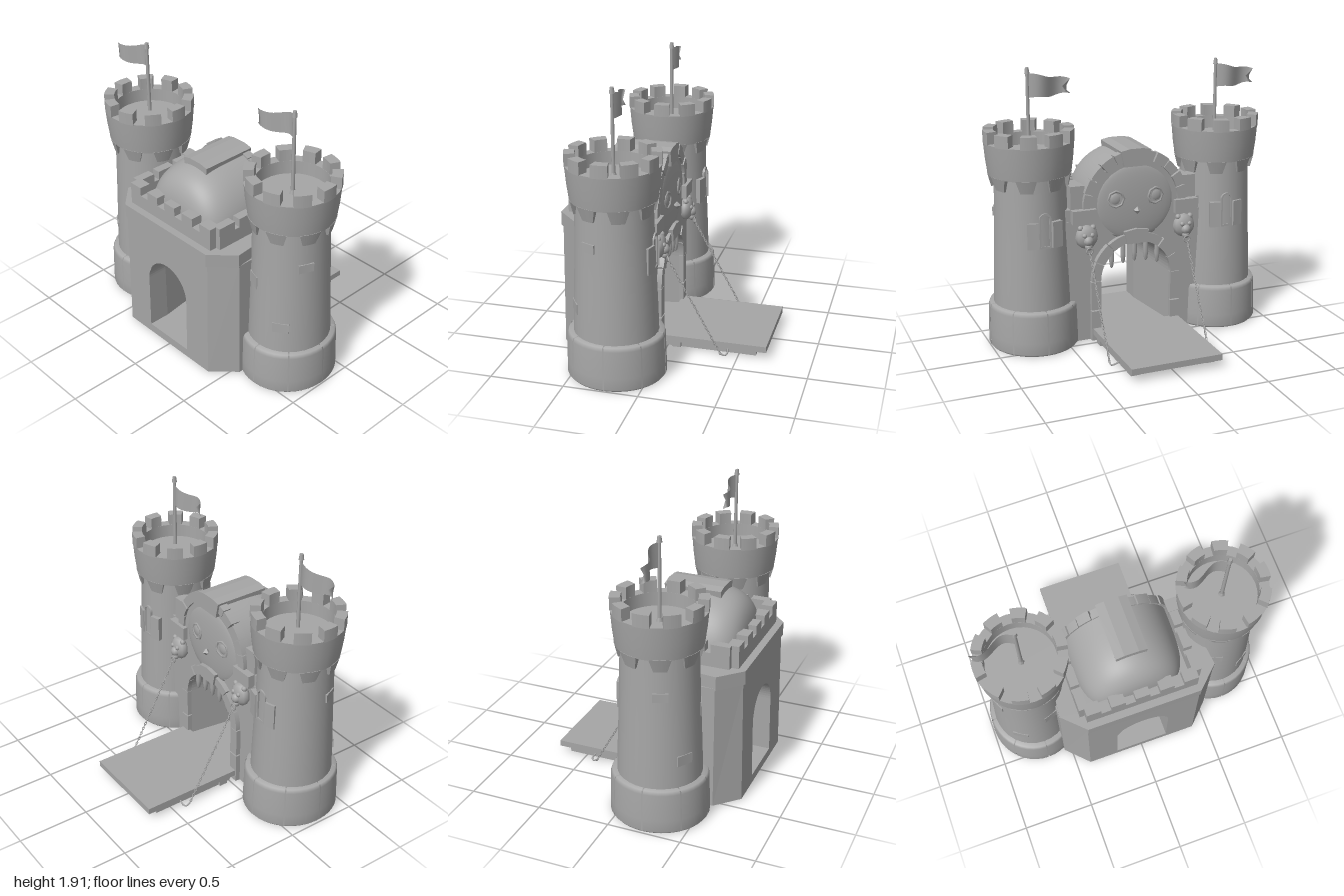
import * as THREE from 'three';

const stone = new THREE.MeshStandardMaterial({ color: 0xa6a6a6, side: THREE.DoubleSide });
stone.name = 'grey stone';

function add(parent, name, geo, x = 0, y = 0, z = 0) {
  const m = new THREE.Mesh(geo, stone);
  m.name = name;
  m.position.set(x, y, z);
  parent.add(m);
  return m;
}
const box = (p, name, x0, x1, y0, y1, z0, z1) =>
  add(p, name, new THREE.BoxGeometry(x1 - x0, y1 - y0, z1 - z0), (x0 + x1) / 2, (y0 + y1) / 2, (z0 + z1) / 2);

// Move every vertex by a rule
function reshape(geo, rule) {
  const p = geo.attributes.position, v = new THREE.Vector3();
  for (let k = 0; k < p.count; k++) {
    rule(v.fromBufferAttribute(p, k));
    p.setXYZ(k, v.x, v.y, v.z);
  }
  geo.computeVertexNormals();
  return geo;
}
// Shape drawn in (-z, y), pushed along x from x0 to x1
function extrudeX(shape, x0, x1) {
  return new THREE.ExtrudeGeometry(shape, { depth: x1 - x0, bevelEnabled: false, curveSegments: 16 })
    .translate(0, 0, x0).rotateY(Math.PI / 2);
}
// Shape drawn in (x, -z), raised from y0 to y1
function extrudeY(shape, y0, y1) {
  return new THREE.ExtrudeGeometry(shape, { depth: y1 - y0, bevelEnabled: false, curveSegments: 5 })
    .translate(0, 0, y0).rotateX(-Math.PI / 2);
}
function sector(r0, r1, a0, a1) {
  const s = new THREE.Shape();
  s.absarc(0, 0, r1, a0, a1, false);
  s.absarc(0, 0, r0, a1, a0, true);
  return s;
}
const poly = points => new THREE.Shape(points.map(p => new THREE.Vector2(p[0], p[1])));
function archPath(w, yBase, ySpring, Type = THREE.Path) {
  const p = new Type();
  p.moveTo(-w, yBase);
  p.lineTo(w, yBase);
  p.lineTo(w, ySpring);
  p.absarc(0, ySpring, w, 0, Math.PI, false);
  p.lineTo(-w, yBase);
  return p;
}
const lathe = (pts, seg = 32, a = 0, len = Math.PI * 2) =>
  new THREE.LatheGeometry(pts.map(p => new THREE.Vector2(p[0], p[1])), seg, a, len);

// Round tower with corbelled battlements; side is +1 (left) or -1 (right)
function tower(side) {
  const g = new THREE.Group();
  g.name = side > 0 ? 'leftTower' : 'rightTower';
  g.position.set(-0.232, 0, side > 0 ? 0.69 : -0.68);
  // Base of large blocks, slightly deeper than wide
  const base = new THREE.Group();
  base.name = 'base';
  base.scale.x = 1.055;
  g.add(base);
  add(base, 'foundation', new THREE.CylinderGeometry(0.295, 0.3, 0.3, 32), 0, 0.155, 0);
  const blocks = 8, step = Math.PI * 2 / blocks;
  for (let i = 0; i < blocks; i++) {
    add(base, 'baseStone', lathe([[0.3, 0.005], [0.312, 0.02], [0.31, 0.1], [0.305, 0.285], [0.295, 0.31], [0.25, 0.316]],
      5, i * step + 0.03, step - 0.03));
  }
  add(g, 'shaft', lathe([[0.27, 0.3], [0.264, 0.5], [0.254, 0.75], [0.246, 1.0], [0.24, 1.24]])).scale.x = 1.035;
  // Battlements
  add(g, 'corbelUnderside', lathe([[0.235, 1.215], [0.28, 1.215]]));
  add(g, 'battlementWall', lathe([[0.28, 1.215], [0.294, 1.32], [0.304, 1.44]]));
  add(g, 'battlementWalk', lathe([[0.304, 1.44], [0.237, 1.44]]));
  add(g, 'battlementInside', lathe([[0.237, 1.44], [0.235, 1.345]]));
  add(g, 'roofFloor', new THREE.CylinderGeometry(0.24, 0.24, 0.01, 32), 0, 1.345, 0);
  for (let i = 0; i < 10; i++) {
    const a = (i + 0.25) * Math.PI / 5;
    add(g, 'merlon', extrudeY(sector(0.237, 0.306, a, a + 0.36), 1.435, 1.52));
  }
  for (let i = 0; i < 8; i++) {
    const a = i * Math.PI / 4 + 0.16, mid = a + 0.25;
    // Corbel drawn in and narrowed towards its foot
    const geo = reshape(extrudeY(sector(0.235, 0.283, a, a + 0.5), 1.13, 1.22), v => {
      if (v.y > 1.18) return;
      const r = Math.min(Math.hypot(v.x, v.z), 0.26);
      let d = Math.atan2(-v.z, v.x) - mid;
      d = Math.atan2(Math.sin(d), Math.cos(d)) * 0.65 + mid;
      v.x = r * Math.cos(d);
      v.z = -r * Math.sin(d);
    });
    add(g, 'corbel', geo);
  }
  // Raised bricks scattered on the shaft
  for (const [a, y, h, w] of [[2.8, 0.77, 0.09, 0.1], [1.9, 0.9, 0.05, 0.1], [2.2, 0.6, 0.06, 0.1],
    [3.7, 0.5, 0.07, 0.11], [4.3, 0.95, 0.06, 0.1]]) {
    const r = 0.277 - 0.04 * y;
    const b = add(g, 'raisedBrick', new THREE.BoxGeometry(0.03, h, w), Math.cos(a) * r, y, -side * Math.sin(a) * r);
    b.rotation.y = side * a;
  }
  // Arrow window and its flanking blocks
  const wz = -side * 0.02;
  const frame = archPath(0.042, 0.75, 0.95, THREE.Shape);
  frame.holes.push(archPath(0.03, 0.765, 0.95));
  add(g, 'windowFrame', extrudeX(frame, 0.22, 0.265), 0, 0, wz);
  for (const s of [-1, 1]) {
    const b = add(g, 'windowBlock', new THREE.BoxGeometry(0.05, 0.18, 0.075), 0.238, 0.84, wz + s * 0.08);
    b.rotation.y = -s * 0.28;
  }
  // Flag streaming towards -z
  const top = side > 0 ? 1.92 : 1.9;
  add(g, 'flagPole', new THREE.CylinderGeometry(0.011, 0.013, top - 1.345, 8), 0, (top + 1.345) / 2, 0);
  add(g, 'poleTip', new THREE.CylinderGeometry(0.012, 0.018, 0.04, 6), 0, top - 0.02, 0);
  add(g, 'poleFoot', new THREE.CylinderGeometry(0.015, 0.024, 0.03, 6), 0, 1.36, 0);
  add(g, 'flag', reshape(new THREE.PlaneGeometry(1, 1, 14, 2), v => {
    const u = v.x + 0.5, notch = u > 0.99 && Math.abs(v.y) < 0.1 ? 0.055 : 0;
    v.set(0.032 * Math.sin(u * 6), top - 0.12 - 0.025 * u + v.y * (0.165 - 0.065 * u) + 0.006 * Math.sin(u * 9),
      -0.3 * u + notch);
  }));
  return g;
}

// Arch made of separate stones
function stoneArch(parent, name, r0, r1, y, n, x0, x1) {
  for (let i = 0; i < n; i++) {
    const a = i * Math.PI / n, grow = i % 2 ? 0.006 : 0;
    add(parent, name, extrudeX(sector(r0, r1 + grow, a + 0.012, a + Math.PI / n - 0.012), x0, x1 + grow), 0, y, 0);
  }
}

function gatehouse() {
  const g = new THREE.Group();
  g.name = 'gatehouse';
  const wall = (w, spring) => {
    const s = poly([[-0.55, 0.01], [0.55, 0.01], [0.55, 0.88], [-0.55, 0.88]]);
    s.holes.push(archPath(w, 0.07, spring));
    return s;
  };
  // Walls whose passage narrows towards the back door
  add(g, 'walls', reshape(extrudeX(wall(0.26, 0.44), -0.55, -0.065), v => {
    if (v.x > -0.5 || Math.abs(v.z) > 0.3) return;
    v.z *= 0.19 / 0.26;
    if (v.y > 0.4) v.y = 0.47 + (v.y - 0.44) * 0.19 / 0.26;
  }));
  // Chamfered back wall, leaning in slightly
  add(g, 'backWall', reshape(extrudeX(wall(0.19, 0.47), -0.7, -0.55), v => {
    if (v.x > -0.6) return;
    if (Math.abs(v.z) > 0.5) v.z = Math.sign(v.z) * 0.4;
    v.x += 0.015 * v.y;
  }));
  // Ledge around the top of the walls
  add(g, 'ledge', extrudeY(poly([[-0.7, -0.4], [-0.555, -0.55], [-0.07, -0.5], [-0.07, 0.5], [-0.555, 0.55], [-0.7, 0.4]]), 0.87, 0.965));
  // Crenellated parapet
  box(g, 'backParapet', -0.65, -0.57, 0.96, 1.06, -0.39, 0.39);
  for (let i = 0; i < 5; i++) box(g, 'parapetMerlon', -0.65, -0.57, 1.05, 1.12, -0.39 + i * 0.17, -0.29 + i * 0.17);
  for (const s of [-1, 1]) {
    box(g, 'sideParapet', -0.6, -0.1, 0.96, 1.06, s * 0.395 - 0.03, s * 0.395 + 0.03);
    for (let i = 0; i < 3; i++) box(g, 'parapetMerlon', -0.6 + i * 0.17, -0.47 + i * 0.17, 1.05, 1.12, s * 0.395 - 0.03, s * 0.395 + 0.03);
    box(g, 'shoulderWall', -0.16, -0.07, 0.96, 1.125, s * 0.41 - 0.05, s * 0.41 + 0.05);
    box(g, 'frontLedge', -0.15, -0.02, 0.87, 0.965, s * 0.375 - 0.085, s * 0.375 + 0.085);
  }
  // Vault with a full, rounded back end
  add(g, 'vault', reshape(new THREE.PlaneGeometry(1, 1, 32, 28), v => {
    const b = Math.sin((0.5 - v.x) * Math.PI / 2), a = (v.y + 0.5) * Math.PI;
    const s = Math.max(0, 1 - Math.pow(b, 4.5));
    v.set(-0.06 - 0.54 * b, 0.96 + 0.375 * Math.pow(s, 0.31) * Math.sin(a), 0.365 * Math.pow(s, 0.25) * Math.cos(a));
  }));
  // Face panel, eyes and nose
  const panel = new THREE.Shape();
  panel.absarc(0, 0, 0.33, 0, Math.PI, false);
  add(g, 'facePanel', extrudeX(panel, -0.09, -0.055), 0, 0.96, 0);
  box(g, 'lowerFace', -0.09, -0.055, 0.76, 0.97, -0.3, 0.3);
  add(g, 'faceBulge', new THREE.SphereGeometry(1, 28, 18), -0.065, 0.98, 0).scale.set(0.035, 0.27, 0.29);
  for (const s of [-1, 1]) {
    const rim = add(g, 'eyeRim', new THREE.TorusGeometry(0.056, 0.009, 6, 8), -0.037, 1.015, s * 0.145);
    rim.rotation.set(0, Math.PI / 2 - s * 0.12, 0);
    add(g, 'eye', new THREE.SphereGeometry(0.048, 14, 10), -0.048, 1.015, s * 0.145).scale.x = 0.4;
  }
  add(g, 'nose', new THREE.OctahedronGeometry(0.028), -0.01, 0.93, 0);
  // Crown arch and long keystone slab
  stoneArch(g, 'crownStone', 0.315, 0.38, 0.965, 11, -0.1, -0.04);
  add(g, 'keystone', extrudeX(poly([[-0.085, 1.235], [0.085, 1.235], [0.11, 1.345], [0.05, 1.358], [-0.05, 1.358], [-0.11, 1.345]]), -0.1, -0.025));
  add(g, 'keystoneSlab', extrudeX(poly([[-0.105, 1.3], [0.105, 1.3], [0.11, 1.345], [0.05, 1.358], [-0.05, 1.358], [-0.11, 1.345]]), -0.42, -0.1));
  // Gate frame
  stoneArch(g, 'gateArchStone', 0.26, 0.325, 0.44, 7, -0.1, -0.03);
  add(g, 'gateKeystone', extrudeX(poly([[-0.07, 0.69], [0.07, 0.69], [0.09, 0.78], [0, 0.795], [-0.09, 0.78]]), -0.09, -0.015));
  for (const s of [-1, 1]) {
    for (let i = 0; i < 2; i++) box(g, 'jambStone', -0.1, -0.03, 0.02 + i * 0.215, 0.225 + i * 0.215, s * 0.295 - 0.035, s * 0.295 + 0.035);
  }
  // Teeth hanging in the gate
  for (let i = -2; i <= 2; i++) {
    add(g, 'tooth', lathe([[0, -0.13], [0.012, -0.115], [0.02, -0.06], [0.018, 0.02]], 8), -0.065, 0.675 - 0.008 * i * i, i * 0.085);
  }
  return g;
}

// Beast head holding a chain that runs down to the drawbridge
function chainSide(s) {
  const g = new THREE.Group();
  g.name = s > 0 ? 'leftChain' : 'rightChain';
  const z = s * 0.36;
  add(g, 'mane', new THREE.IcosahedronGeometry(0.082, 1), -0.035, 0.775, z).scale.set(0.6, 1.05, 1);
  add(g, 'snout', new THREE.SphereGeometry(0.036, 10, 8), 0, 0.755, z);
  add(g, 'jaw', new THREE.SphereGeometry(0.026, 10, 8), 0.002, 0.715, z);
  for (const e of [-1, 1]) {
    add(g, 'ear', new THREE.SphereGeometry(0.02, 8, 6), -0.03, 0.84, z + e * 0.045);
    add(g, 'brow', new THREE.SphereGeometry(0.017, 8, 6), 0.003, 0.795, z + e * 0.027);
  }
  add(g, 'mouthRing', new THREE.TorusGeometry(0.022, 0.005, 6, 14), 0.025, 0.69, z).rotation.y = Math.PI / 2;
  const a = new THREE.Vector3(0.035, 0.665, z), b = new THREE.Vector3(0.385, 0.035, z);
  const dir = b.clone().sub(a).normalize(), n = 36;
  const link = new THREE.TorusGeometry(0.0065, 0.003, 5, 8).scale(1, 1.8, 1);
  for (let i = 0; i < n; i++) {
    const m = add(g, 'chainLink', link);
    m.position.lerpVectors(a, b, i / (n - 1));
    m.quaternion.setFromUnitVectors(new THREE.Vector3(0, 1, 0), dir);
    m.rotateY((i % 2) * Math.PI / 2 + Math.PI / 4);
  }
  const hook = new THREE.CatmullRomCurve3([b, new THREE.Vector3(0.415, 0.022, z),
    new THREE.Vector3(0.43, 0.028, s * 0.345), new THREE.Vector3(0.425, 0.04, s * 0.3)]);
  add(g, 'chainHook', new THREE.TubeGeometry(hook, 12, 0.006, 6));
  return g;
}

function drawbridge() {
  const g = new THREE.Group();
  g.name = 'drawbridge';
  box(g, 'deck', -0.05, 0.692, 0.057, 0.1, -0.322, 0.322);
  for (const s of [-1, 1]) box(g, 'sideBeam', 0.0, 0.62, 0.018, 0.06, s * 0.27 - 0.03, s * 0.27 + 0.03);
  box(g, 'crossBeam', 0.04, 0.1, 0.02, 0.06, -0.32, 0.32);
  box(g, 'threshold', -0.1, -0.03, 0.01, 0.06, -0.33, 0.33);
  return g;
}

export function createModel() {
  const model = new THREE.Group();
  model.name = 'castleGate';
  model.add(tower(1), tower(-1), gatehouse(), chainSide(1), chainSide(-1), drawbridge());
  return model;
}
